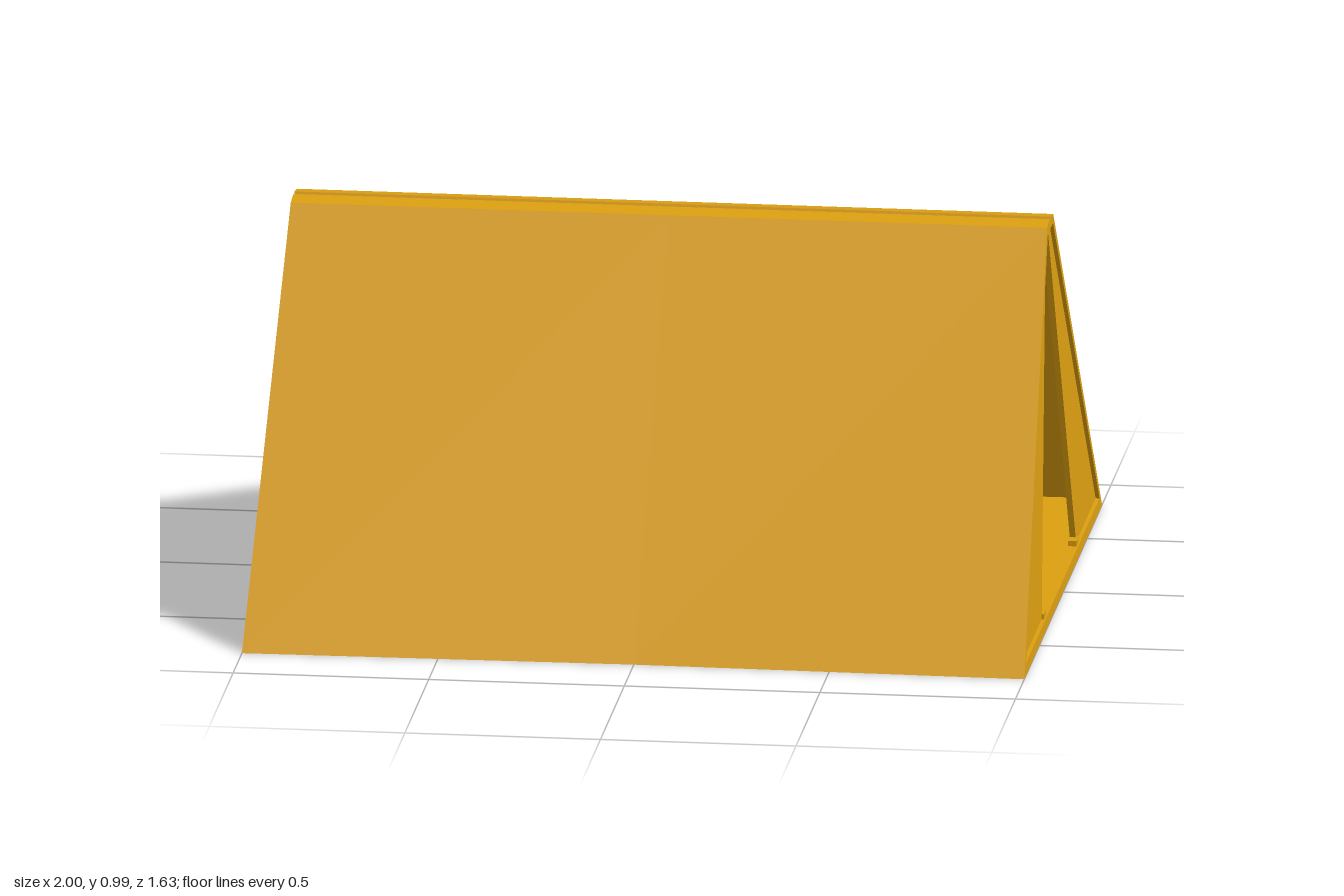
import * as THREE from 'three';

const LEAN = 0.034; // how far the end walls lean inwards per unit of height

// Mirrors a half profile of [z, y] points into a closed outline
const mirror = half => [...half, ...half.map(([z, y]) => [-z, y]).reverse()];

const OUTER = mirror([[0.815, 0], [0.065, 0.978], [0.012, 0.986], [0.006, 0.973]]);
const INNER = mirror([[0.77, 0.03], [0.055, 0.957]]);

const makePath = (Type, pts) => new Type(pts.map(([z, y]) => new THREE.Vector2(-z, y)));

// Skins an outline along x; the foot of the fabric pulls in at mid length
function skin(profile, stations, inward) {
  const pos = [];
  const at = (s, [z, y]) => [
    s * (1 - LEAN * y), y, z * (1 - 0.018 * (1 - Math.abs(s)) * (1 - y))];
  for (let i = 0; i < stations.length - 1; i++) {
    for (let j = 0; j < profile.length; j++) {
      const p = profile[j], q = profile[(j + 1) % profile.length];
      const a0 = at(stations[i], p), a1 = at(stations[i], q);
      const b0 = at(stations[i + 1], p), b1 = at(stations[i + 1], q);
      if (inward) pos.push(...a0, ...b1, ...b0, ...a0, ...a1, ...b1);
      else pos.push(...a0, ...b0, ...b1, ...a0, ...b1, ...a1);
    }
  }
  const geo = new THREE.BufferGeometry();
  geo.setAttribute('position', new THREE.Float32BufferAttribute(pos, 3));
  geo.computeVertexNormals();
  return geo;
}

// Stands a flat or extruded outline up in a leaning end wall
function lean(geometry, side, offset = 0) {
  const geo = geometry.index ? geometry.toNonIndexed() : geometry;
  const p = geo.attributes.position;
  for (let i = 0; i < p.count; i++) {
    const u = p.getX(i), y = p.getY(i), d = p.getZ(i);
    p.setXYZ(i, side * (1 - LEAN * y) + offset + d, y, -u);
  }
  geo.computeVertexNormals();
  return geo;
}

export function createModel() {
  const group = new THREE.Group();
  const canvas = new THREE.MeshStandardMaterial({ color: 0xdc9f10 });
  canvas.name = 'ochre canvas';
  const lining = new THREE.MeshStandardMaterial({ color: 0xdc9f10, side: THREE.DoubleSide });
  lining.name = 'ochre canvas, two sided';

  const add = (name, geometry, material = canvas) => {
    const mesh = new THREE.Mesh(geometry, material);
    mesh.name = name;
    group.add(mesh);
    return mesh;
  };

  // Roof slopes, grooved ridge and ground sheet, outside and inside
  add('outerShell', skin(OUTER, [-1, 0, 1], false));
  add('innerLining', skin(INNER, [-0.975, 0, 1], true));

  // Closed end
  add('backWall', lean(new THREE.ShapeGeometry(makePath(THREE.Shape, OUTER)), -1), lining);
  add('backWallLining', lean(new THREE.ShapeGeometry(makePath(THREE.Shape, INNER)), -1, 0.025));

  // Rim around the open end
  const rim = makePath(THREE.Shape, OUTER);
  rim.holes.push(makePath(THREE.Path, INNER));
  add('entranceRim', lean(new THREE.ShapeGeometry(rim), 1));

  // Door flaps and the small tabs at their feet
  for (const s of [1, -1]) {
    const side = s > 0 ? 'left' : 'right';
    const flap = [[0.77, 0.03], [0.36, 0.03], [0.02, 0.957], [0.055, 0.957]]
      .map(([z, y]) => [z * s, y]);
    const slab = new THREE.ExtrudeGeometry(makePath(THREE.Shape, flap),
      { depth: 0.015, bevelEnabled: false });
    add(side + 'DoorFlap', lean(slab, 1, -0.025));

    const tab = add(side + 'DoorTab', new THREE.BoxGeometry(0.022, 0.016, 0.044));
    tab.position.set(0.984, 0.036, 0.342 * s);
  }
  return group;
}
